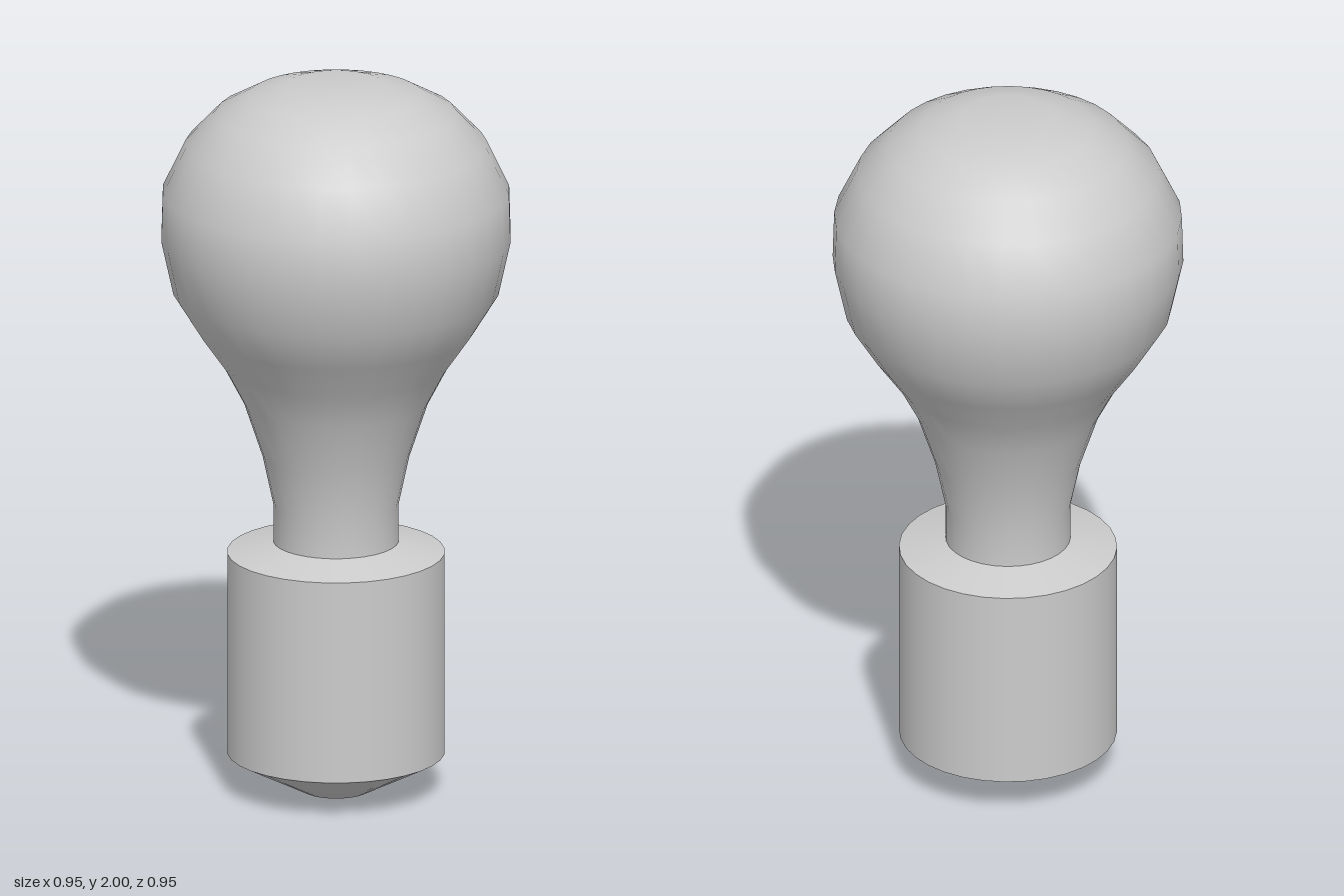
import * as THREE from 'three';

const material = new THREE.MeshStandardMaterial({ color: 0xcccccc });

// Smooth surface of revolution from [radius, height] pairs, listed bottom to top
function turned(name, profile) {
  const points = profile.map(([r, y]) => new THREE.Vector2(r, y));
  const mesh = new THREE.Mesh(new THREE.LatheGeometry(points, 32), material);
  mesh.name = name;
  return mesh;
}

export function createModel() {
  const model = new THREE.Group();
  model.name = 'lightBulb';

  // Glass: straight neck flaring into a rounded head
  model.add(turned('glassBulb', [
    [0.17, 0.7], [0.17, 0.81], [0.2, 0.95], [0.25, 1.1], [0.305, 1.205],
    [0.375, 1.305], [0.443, 1.415], [0.476, 1.565], [0.472, 1.7],
    [0.41, 1.83], [0.325, 1.92], [0.235, 1.97], [0.13, 2], [0, 2],
  ]));

  // Base: separate surfaces keep the rims sharp
  const base = new THREE.Group();
  base.name = 'base';
  base.add(
    turned('contactTip', [[0, 0], [0.092, 0], [0.296, 0.107]]),
    turned('socketWall', [[0.296, 0.107], [0.296, 0.675]]),
    turned('socketShoulder', [[0.296, 0.675], [0.17, 0.705]]),
  );
  model.add(base);

  return model;
}
